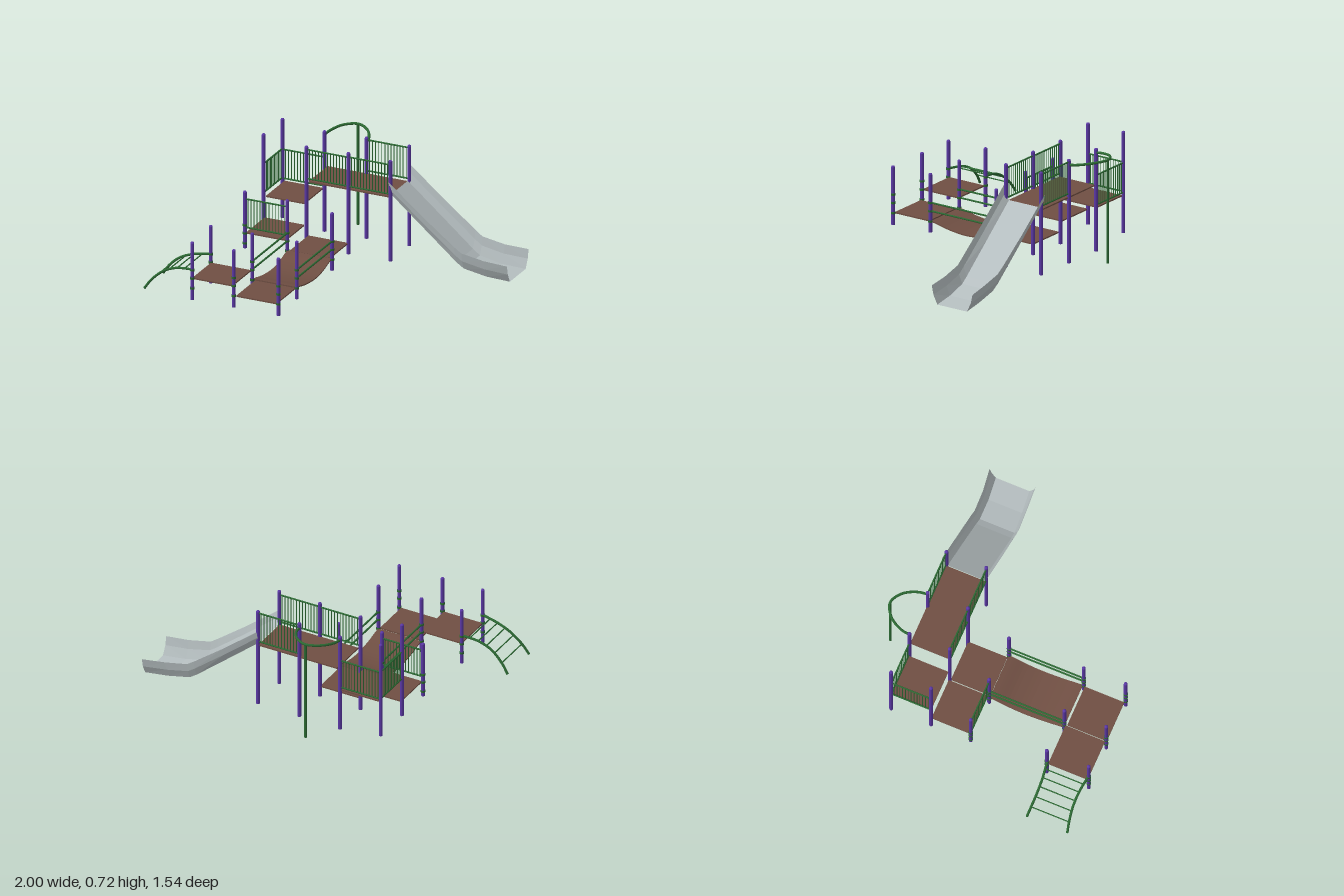
import * as THREE from 'three';

const mat = (color, side = THREE.FrontSide) => new THREE.MeshStandardMaterial({ color, side });
const V = (x, y, z) => new THREE.Vector3(x, y, z);

export function createModel() {
  const root = new THREE.Group();
  const purple = mat(0x5b38a6), green = mat(0x2c6a33), brown = mat(0x704f43);
  const grey = mat(0xb6bfc1, THREE.DoubleSide);
  grey.flatShading = true;

  const add = (name, geo, material, parent = root) => {
    const m = new THREE.Mesh(geo, material);
    m.name = name;
    parent.add(m);
    return m;
  };
  const group = (name) => {
    const g = new THREE.Group();
    g.name = name;
    root.add(g);
    return g;
  };
  // Straight round bar between two points
  const bar = (name, a, b, r, parent, sides = 8) => {
    const d = b.clone().sub(a);
    const m = add(name, new THREE.CylinderGeometry(r, r, d.length(), sides), green, parent);
    m.position.copy(a).add(b).multiplyScalar(0.5);
    m.quaternion.setFromUnitVectors(V(0, 1, 0), d.normalize());
  };
  const tube = (name, pts, r, parent) =>
    add(name, new THREE.TubeGeometry(new THREE.CatmullRomCurve3(pts), 40, r, 8), green, parent);

  // Posts with domed tops: x, z, bottom, top
  const posts = group('posts');
  const R = 0.012;
  [
    [-0.68, -0.575, 0.05, 0.72], [-0.39, -0.575, 0.01, 0.69], [-0.1, -0.575, 0.015, 0.7], [0.195, -0.575, 0.02, 0.7],
    [-0.68, -0.305, 0.05, 0.72], [-0.385, -0.305, 0.005, 0.69], [-0.095, -0.305, 0.015, 0.7], [0.195, -0.305, 0.02, 0.7],
    [-0.68, -0.037, 0.05, 0.435], [-0.388, -0.037, 0.01, 0.43], [-0.078, -0.035, 0.01, 0.4],
    [-0.67, 0.473, 0.01, 0.4], [-0.385, 0.47, 0.01, 0.4], [-0.078, 0.47, 0.01, 0.4],
    [-0.663, 0.753, 0.005, 0.395], [-0.378, 0.75, 0.005, 0.395], [-0.07, 0.75, 0.005, 0.395],
  ].forEach(([x, z, y0, y1]) => {
    const profile = [[0, y0], [R, y0], [R, y0], [R, y1 - 0.01], [R, y1 - 0.01], [R * 0.75, y1 - 0.003], [0, y1]];
    add('post', new THREE.LatheGeometry(profile.map((p) => new THREE.Vector2(...p)), 14), purple, posts)
      .position.set(x, 0, z);
    // Clamp collars on the low posts
    if (z > -0.1) {
      [0.083, 0.15, 0.205].forEach((y) =>
        add('collar', new THREE.CylinderGeometry(0.0145, 0.0145, 0.014, 14), green, posts).position.set(x, y, z));
    }
  });

  // Decks: x0, x1, z0, z1, height
  const decks = group('decks');
  [
    [-0.665, -0.4, -0.575, -0.308, 0.3], [-0.37, 0.19, -0.578, -0.308, 0.452],
    [-0.673, -0.4, -0.305, -0.04, 0.154], [-0.37, -0.097, -0.303, -0.038, 0.088],
    [-0.665, -0.39, 0.48, 0.747, 0.149], [-0.362, -0.085, 0.48, 0.747, 0.084],
  ].forEach(([x0, x1, z0, z1, y]) =>
    add('deck', new THREE.BoxGeometry(x1 - x0, 0.009, z1 - z0), brown, decks)
      .position.set((x0 + x1) / 2, y - 0.0045, (z0 + z1) / 2));

  // Sagging bridge: a thin curved strip extruded across its width
  const sag = new THREE.SplineCurve([
    [-0.035, 0.088], [0.01, 0.079], [0.1, 0.055], [0.21, 0.046], [0.34, 0.06], [0.42, 0.078], [0.465, 0.085],
  ].map((p) => new THREE.Vector2(...p))).getPoints(24);
  const strip = new THREE.Shape([
    ...sag, ...sag.slice().reverse().map((p) => new THREE.Vector2(p.x, p.y - 0.008)),
  ]);
  const bridge = new THREE.ExtrudeGeometry(strip, { depth: 0.305, bevelEnabled: false });
  bridge.rotateY(-Math.PI / 2).translate(-0.08, 0, 0);
  add('bridge', bridge, brown);
  const bridgeRails = group('bridgeRails');
  for (const x of [-0.386, -0.078])
    for (const y of [0.15, 0.205]) bar('bridgeRail', V(x, y, -0.036), V(x, y, 0.47), 0.006, bridgeRails);

  // Guard panels with balusters: start x,z, end x,z, bottom, top
  [
    [-0.68, -0.575, -0.39, -0.575, 0.315, 0.51], [-0.68, -0.575, -0.68, -0.305, 0.32, 0.515],
    [-0.68, -0.038, -0.388, -0.038, 0.188, 0.38],
    [-0.385, -0.305, -0.095, -0.305, 0.47, 0.665], [-0.095, -0.305, 0.195, -0.305, 0.47, 0.667],
    [-0.1, -0.575, 0.195, -0.575, 0.472, 0.68],
  ].forEach(([x0, z0, x1, z1, y0, y1]) => {
    const g = group('guardPanel');
    for (const y of [y0, y1]) bar('panelRail', V(x0, y, z0), V(x1, y, z1), 0.0055, g);
    const n = 14;
    for (let i = 1; i < n; i++) {
      const t = i / n, x = x0 + (x1 - x0) * t, z = z0 + (z1 - z0) * t;
      bar('baluster', V(x, y0, z), V(x, y1, z), 0.0028, g, 6);
    }
  });

  // Curved ladder at the low end
  const ladder = group('ladder');
  const rail = [[-0.995, 0.02, 0], [-0.95, 0.083, 0.008], [-0.87, 0.153, 0.016], [-0.78, 0.19, 0.014], [-0.67, 0.206, 0]];
  tube('ladderRail', rail.map(([x, y, d]) => V(x, y, 0.477 + d)), 0.008, ladder);
  tube('ladderRail', rail.map(([x, y, d]) => V(x, y, 0.75 - d)), 0.008, ladder);
  [[-0.948, 0.085], [-0.892, 0.136], [-0.833, 0.171], [-0.777, 0.19], [-0.722, 0.2]].forEach(([x, y]) =>
    bar('rung', V(x, y, 0.488), V(x, y, 0.739), 0.004, ladder));

  // Sliding pole with its overhead arch
  const pole = group('slidingPole');
  tube('poleArch', [
    [-0.39, 0.66, -0.575], [-0.382, 0.668, -0.635], [-0.335, 0.682, -0.72], [-0.25, 0.688, -0.765],
    [-0.165, 0.682, -0.72], [-0.112, 0.668, -0.635], [-0.1, 0.66, -0.575],
  ].map((p) => V(...p)), 0.0085, pole);
  bar('pole', V(-0.25, 0.008, -0.764), V(-0.25, 0.69, -0.764), 0.0085, pole, 12);

  // Slide lofted from cross-sections: x, bed height, wall height, front z, back z, flare
  const sections = [
    [0.19, 0.46, 0.095, -0.325, -0.565, 0.037], [0.43, 0.26, 0.1, -0.325, -0.565, 0.036],
    [0.64, 0.085, 0.115, -0.325, -0.563, 0.035], [0.69, 0.05, 0.115, -0.327, -0.56, 0.035],
    [0.84, 0.018, 0.118, -0.34, -0.565, 0.038], [0.995, 0.006, 0.118, -0.355, -0.582, 0.042],
  ];
  const pos = [], idx = [], k = 6;
  sections.forEach(([x, y, h, zf, zb, f], i) => {
    pos.push(x, y + h, zf + f, x, y + h * 0.5, zf + f * 0.7, x, y, zf);
    pos.push(x, y, zb, x, y + h * 0.5, zb - f * 0.7, x, y + h, zb - f);
    if (i) for (let j = 0; j < k - 1; j++) {
      const a = (i - 1) * k + j, b = i * k + j;
      idx.push(a, b, a + 1, b, b + 1, a + 1);
    }
  });
  const slide = new THREE.BufferGeometry();
  slide.setAttribute('position', new THREE.Float32BufferAttribute(pos, 3));
  slide.setIndex(idx);
  slide.computeVertexNormals();
  add('slide', slide, grey);

  return root;
}
